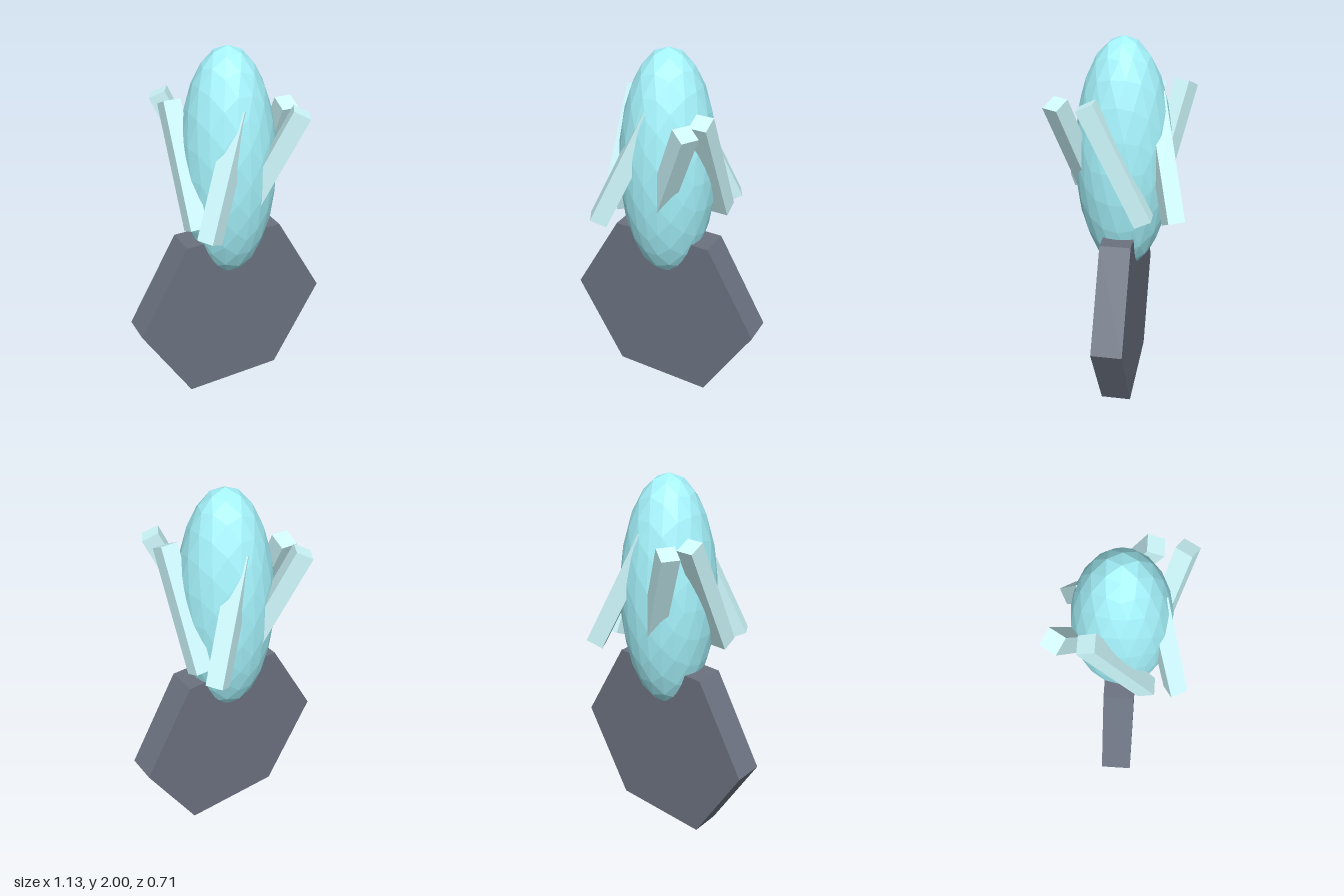
import * as THREE from 'three';

const material = (color) => new THREE.MeshStandardMaterial({ color, flatShading: true });

export function createModel() {
  const model = new THREE.Group();
  const add = (name, geometry, mat) => {
    const mesh = new THREE.Mesh(geometry, mat);
    mesh.name = name;
    model.add(mesh);
    return mesh;
  };

  // Upright hexagonal plate, resting on one flat side
  const plateRadius = 0.564;
  const plateGeometry = new THREE.CylinderGeometry(plateRadius, plateRadius, 0.163, 6, 1, false, Math.PI / 6);
  plateGeometry.rotateX(Math.PI / 2);
  const plate = add('basePlate', plateGeometry, material(0x6b7280));
  plate.position.y = plateRadius * Math.cos(Math.PI / 6);

  // Stretched faceted crystal sunk into the plate
  const crystalGeometry = new THREE.IcosahedronGeometry(0.256, 3);
  crystalGeometry.scale(1, 2.5, 1);
  const crystal = add('crystalBody', crystalGeometry, material(0xa5f3fc));
  crystal.position.y = 1.36;

  // Six leaning bars around the crystal
  const barGeometry = new THREE.BoxGeometry(0.092, 0.66, 0.092);
  const barMaterial = material(0xcffafe);
  for (let i = 0; i < 6; i++) {
    const angle = (i * Math.PI) / 3;
    const bar = add(`bar${i + 1}`, barGeometry, barMaterial);
    bar.position.set(Math.cos(angle) * 0.256, 1.417, Math.sin(angle) * 0.256);
    bar.rotation.set(0.45, angle, 0, 'YXZ');
  }

  return model;
}
